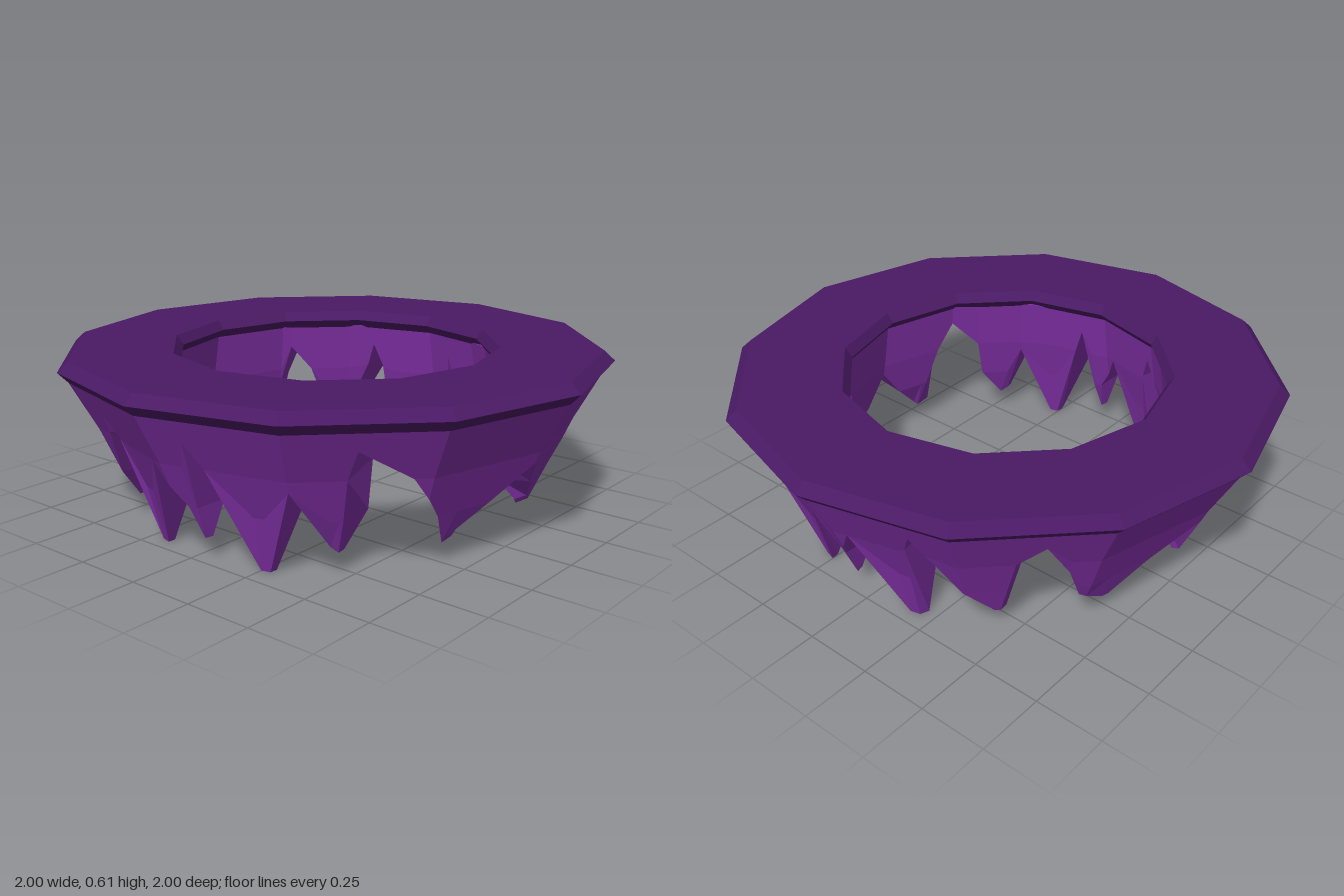
import * as THREE from 'three';

const DEG = Math.PI / 180;

// Lower edge of the fringe as [angle from front, height], left to right
const sideFront = [[-90, 0.31], [-83, 0.075], [-72, 0.11], [-62, 0.14], [-57, 0.24], [-53, 0.37]];
const sideBack = [[-90, 0.31], [-78, 0.2], [-68, 0.08], [-66, 0.08], [-58, 0.15], [-54, 0.3]];
const teeth = [
  [-48, 0.46], [-42, 0.36], [-38.5, 0.08], [-37, 0.08], [-30, 0.2], [-23, 0.38],
  [-20.5, 0.47], [-18, 0.38], [-16, 0], [-13, 0], [-3.3, 0.36], [3, 0.2], [4.2, 0.08],
  [5.2, 0.2], [8, 0.46], [10.7, 0.36], [20.3, 0], [23, 0], [30, 0.32], [38.5, 0.1],
  [40.5, 0.08], [41.5, 0.2], [42.2, 0.36], [44, 0.47], [56, 0.36], [64, 0.2],
  [68, 0.08], [70, 0.1], [80, 0.2], [90, 0.32],
];

// The gaps are cut at a slant: [angle on the outside, angle on the inside]
const slant = [
  [-90, -90], [-62, -65], [-53, -60], [-48, -57], [-42, -49], [-38.5, -40], [-37, -38.5],
  [-30, -34], [-20.5, -24], [-13, -13.5], [0, 0], [8, 9.5], [10.7, 12.5], [23, 24],
  [30, 34.5], [38.5, 39.5], [40.5, 42], [41.5, 49], [42.2, 51], [44, 61], [56, 67],
  [64, 71], [68, 73], [90, 90],
];

// Heights of the bends, and the radius of each wall as [height, radius]
const levels = [0.55, 0.36, 0.2, 0];
const outerWall = [[0.55, 0.97], [0.36, 0.867], [0.2, 0.797], [0.1, 0.747], [0, 0.743]];
const innerWall = [[0.55, 0.602], [0.36, 0.635], [0.2, 0.675], [0.1, 0.72], [0, 0.715]];

function lookUp(table, v) {
  for (let i = 1; i < table.length; i++) {
    const [a, ra] = table[i - 1], [b, rb] = table[i];
    if ((v - a) * (v - b) <= 0) return ra + (rb - ra) * (v - a) / (b - a);
  }
  return table[table.length - 1][1];
}

// Keeps points on the straight sides of a twelve-sided ring
function polygonFactor(angle) {
  const local = ((angle % 30) + 30) % 30 - 15;
  return Math.cos(15 * DEG) / Math.cos(local * DEG);
}

function createFringe() {
  const front = [...sideFront, ...teeth];
  const back = [...sideBack, ...teeth].map(([a, y]) => [180 - a, y]).reverse();
  const edge = [...front, ...back.slice(1)];

  // Columns at every edge point and every ring corner
  const angles = new Set(edge.map(([a]) => a));
  for (let a = -90; a <= 270; a += 30) angles.add(a);
  const columns = [...angles].sort((a, b) => a - b);

  // Each column is a closed wedge section: down the outside, up the inside
  const positions = [], indices = [];
  for (const a of columns) {
    const bottom = lookUp(edge, a);
    const inside = a > 90 ? 180 - lookUp(slant, 180 - a) : lookUp(slant, a);
    const add = (wall, level, angle) => {
      const y = Math.max(level, bottom);
      const r = lookUp(wall, y) * polygonFactor(angle);
      positions.push(r * Math.sin(angle * DEG), y, r * Math.cos(angle * DEG));
    };
    for (const level of levels) add(outerWall, level, a);
    for (const level of [...levels].reverse()) add(innerWall, level, inside);
  }
  const n = levels.length * 2;
  for (let i = 0; i < columns.length - 1; i++) {
    for (let j = 0; j < n; j++) {
      const a = i * n + j, d = i * n + (j + 1) % n;
      const b = a + n, c = d + n;
      indices.push(d, c, b, d, b, a);
    }
  }
  const geometry = new THREE.BufferGeometry();
  geometry.setAttribute('position', new THREE.Float32BufferAttribute(positions, 3));
  geometry.setIndex(indices);
  geometry.computeVertexNormals();
  return geometry;
}

export function createModel() {
  const group = new THREE.Group();
  group.name = 'jaggedRing';

  // Flat bevelled rim
  const profile = [
    [0.608, 0.537], [0.963, 0.537], [1, 0.575], [0.962, 0.61], [0.6, 0.61], [0.575, 0.575], [0.608, 0.537],
  ].map(([r, y]) => new THREE.Vector2(r, y));
  const rim = new THREE.Mesh(
    new THREE.LatheGeometry(profile, 12),
    new THREE.MeshStandardMaterial({ color: 0x4a1a64, flatShading: true }),
  );
  rim.name = 'rim';

  // Hanging fringe of pointed teeth
  const fringe = new THREE.Mesh(
    createFringe(),
    new THREE.MeshStandardMaterial({ color: 0x8030a6, flatShading: true }),
  );
  fringe.name = 'hangingTeeth';

  group.add(rim, fringe);
  return group;
}
